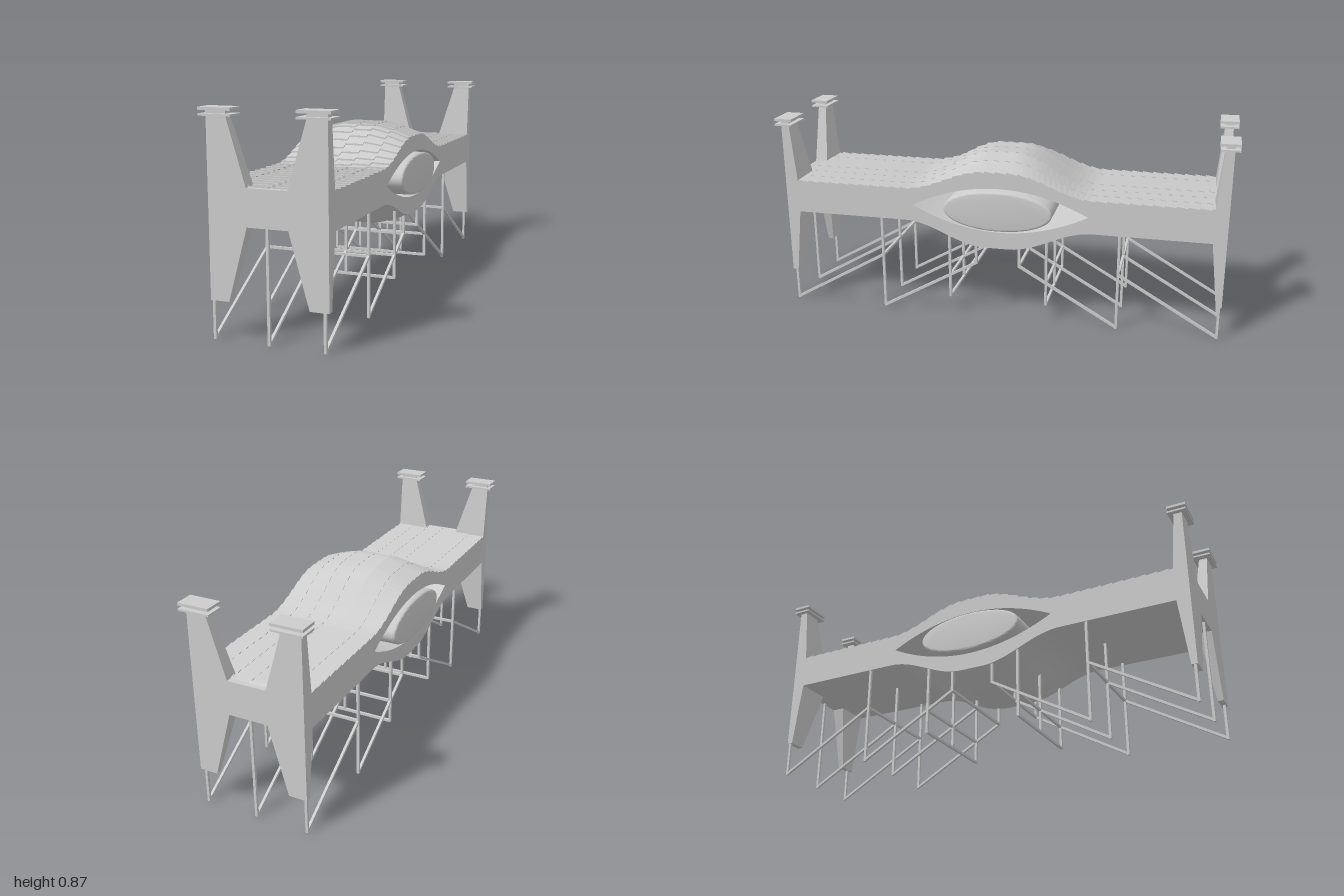
import * as THREE from 'three';
import { mergeGeometries, toCreasedNormals } from 'three/addons/utils/BufferGeometryUtils.js';

const COLS = [-0.24, -0.16, -0.08, 0, 0.08, 0.16, 0.24];
const MID = 0.518;

// Height of the central swelling, flat across the middle and lower at the sides
function swell(x, z) {
  const t = THREE.MathUtils.clamp((Math.abs(z) - 0.05) / 0.37, 0, 1);
  const side = Math.max(0, (Math.abs(x) - 0.08) / 0.16);
  return (0.147 - 0.05 * Math.pow(side, 1.3)) * 0.5 * (1 + Math.cos(Math.PI * t));
}
const roofY = (x, z) => 0.588 + swell(x, z);
const bellyY = (x, z) => 0.445 - swell(x, z) * 1.05;
const eyeHalf = (z) => 0.1 * Math.max(0, 1 - ((z + 0.01) / 0.39) ** 2);

// Long band lofted along z between an upper and a lower height rule
function band(upper, lower) {
  const steps = 96, pos = [], idx = [];
  const n = COLS.length * 2;
  for (let j = 0; j <= steps; j++) {
    const z = -0.96 + (1.92 * j) / steps;
    for (const x of COLS) pos.push(x, upper(x, z), z);
    for (const x of [...COLS].reverse()) pos.push(x, lower(x, z), z);
  }
  for (let j = 0; j < steps; j++) {
    for (let i = 0; i < n; i++) {
      const a = j * n + i, b = j * n + (i + 1) % n;
      idx.push(a, a + n, b, b, a + n, b + n);
    }
  }
  const g = new THREE.BufferGeometry();
  g.setAttribute('position', new THREE.Float32BufferAttribute(pos, 3));
  g.setIndex(idx);
  return toCreasedNormals(g, 0.4);
}

// Tapered block: x and z ranges given at the bottom and at the top
function taper(y0, [ax0, ax1, az0, az1], y1, [bx0, bx1, bz0, bz1]) {
  const g = new THREE.BoxGeometry(1, 1, 1).toNonIndexed();
  const p = g.attributes.position;
  for (let i = 0; i < p.count; i++) {
    const u = p.getX(i) + 0.5, w = p.getZ(i) + 0.5;
    if (p.getY(i) > 0) p.setXYZ(i, bx0 + (bx1 - bx0) * u, y1, bz0 + (bz1 - bz0) * w);
    else p.setXYZ(i, ax0 + (ax1 - ax0) * u, y0, az0 + (az1 - az0) * w);
  }
  g.computeVertexNormals();
  return g;
}

// Square bar between two points
function bar(a, b, s = 0.011) {
  const va = new THREE.Vector3(...a), vb = new THREE.Vector3(...b);
  const g = new THREE.BoxGeometry(s, s, va.distanceTo(vb));
  const m = new THREE.Object3D();
  m.position.copy(va).add(vb).multiplyScalar(0.5);
  m.lookAt(vb);
  m.updateMatrix();
  return g.applyMatrix4(m.matrix);
}

// Thin shingle hugging the roof, with its raised lip toward +z
function shingle(x0, x1, z0, z1) {
  const g = new THREE.BoxGeometry(1, 1, 1, 1, 1, 2).toNonIndexed();
  const p = g.attributes.position;
  for (let i = 0; i < p.count; i++) {
    const x = x0 + (x1 - x0) * (p.getX(i) + 0.5);
    const w = p.getZ(i) + 0.5, z = z0 + (z1 - z0) * w;
    const lift = p.getY(i) > 0 ? 0.001 + 0.007 * w : -0.004;
    p.setXYZ(i, x, roofY(x, z) + lift, z);
  }
  g.computeVertexNormals();
  return g;
}

export function createModel() {
  const model = new THREE.Group();
  const mat = new THREE.MeshStandardMaterial({ color: 0xcccccc });
  const add = (name, geometry, parent = model) => {
    const mesh = new THREE.Mesh(geometry, mat);
    mesh.name = name;
    parent.add(mesh);
    return mesh;
  };

  // Upper and lower bands parting around the eye-shaped opening
  add('upperBand', band(roofY, (x, z) => MID + eyeHalf(z)));
  add('lowerBand', band((x, z) => MID - eyeHalf(z), bellyY));

  // Oval core through the opening
  const oval = new THREE.Shape().absellipse(0, 0, 0.23, 0.08, 0, Math.PI * 2);
  const core = new THREE.ExtrudeGeometry(oval, {
    depth: 0.5, bevelEnabled: true, bevelThickness: 0.01, bevelSize: 0.01, bevelSegments: 3, curveSegments: 32,
  });
  core.translate(0, 0, -0.25).rotateY(Math.PI / 2).translate(0, MID, -0.006);
  add('ovalCore', toCreasedNormals(core, 0.6));

  // Staggered roof shingles
  const stagger = [0.018, 0, 0, 0.025, 0.01, 0.034];
  const pitch = 0.048, tiles = [];
  for (let c = 0; c < 6; c++) {
    for (let z = -0.99 + stagger[c]; z < 0.95; z += pitch) {
      const z0 = Math.max(z, -0.96), z1 = Math.min(z + pitch, 0.96);
      tiles.push(shingle(COLS[c], COLS[c + 1], z0, z1));
    }
  }
  add('roofShingles', mergeGeometries(tiles));

  // End frames: cross wall, towers with double caps, tapered legs
  for (const sz of [1, -1]) {
    const frame = new THREE.Group();
    frame.name = sz > 0 ? 'frontFrame' : 'backFrame';
    frame.rotation.y = sz > 0 ? 0 : Math.PI;
    model.add(frame);
    add('crossWall', taper(0.445, [-0.24, 0.24, 0.92, 0.978], 0.59, [-0.24, 0.24, 0.92, 0.978]), frame);
    for (const s of [1, -1]) {
      // Keeps the x range ascending on either side
      const r = (inner, outer, z0, z1) => (s > 0 ? [inner, outer, z0, z1] : [-outer, -inner, z0, z1]);
      add('tower', taper(0.59, r(0.083, 0.24, 0.92, 0.978), 0.84, r(0.157, 0.24, 0.942, 0.978)), frame);
      add('towerNeck', taper(0.84, r(0.157, 0.24, 0.942, 0.978), 0.87, r(0.16, 0.24, 0.942, 0.978)), frame);
      add('leg', taper(0.157, r(0.163, 0.24, 0.953, 0.978), 0.445, r(0.083, 0.24, 0.92, 0.978)), frame);
      add('lowerCap', taper(0.846, r(0.128, 0.26, 0.92, 1), 0.854, r(0.128, 0.26, 0.92, 1)), frame);
      add('upperCap', taper(0.867, r(0.128, 0.26, 0.92, 1), 0.878, r(0.128, 0.26, 0.92, 1)), frame);
    }
  }

  // Three rows of underside struts, mirrored front to back
  const rows = [-0.231, -0.005, 0.22], struts = [], ties = [];
  for (const s of [1, -1]) {
    for (const x of rows) {
      const endTop = Math.abs(x) > 0.1 ? 0.17 : 0.45;
      struts.push(
        bar([x, 0.004, s * 0.967], [x, endTop, s * 0.967]),
        bar([x, 0.01, s * 0.967], [x, 0.26, s * 0.534]),
        bar([x, 0.004, s * 0.534], [x, 0.45, s * 0.534]),
        bar([x, 0.01, s * 0.534], [x, 0.26, s * 0.097]),
        bar([x, 0.255, s * 0.097], [x, 0.35, s * 0.097]),
        bar([x, 0.085, s * 0.219], [x, 0.43, s * 0.219]),
      );
    }
    for (const [y, z] of [[0.26, 0.534], [0.26, 0.097], [0.19, 0.219], [0.088, 0.219]]) {
      ties.push(bar([rows[0], y, s * z], [rows[2], y, s * z]));
    }
  }
  add('struts', mergeGeometries(struts));
  add('crossTies', mergeGeometries(ties));
  return model;
}
